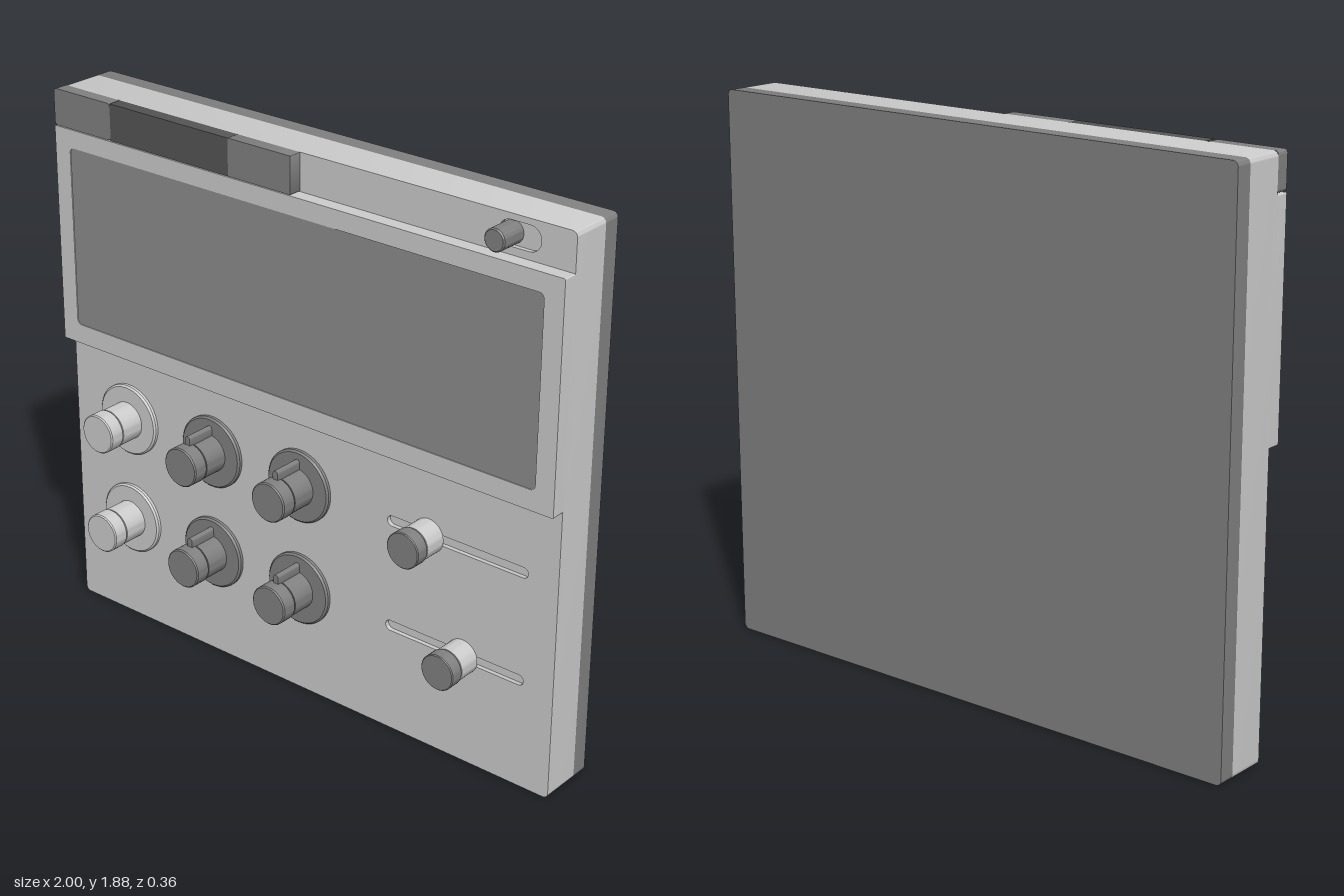
import * as THREE from 'three';
import { toCreasedNormals } from 'three/addons/utils/BufferGeometryUtils.js';

const material = (color) => new THREE.MeshStandardMaterial({ color });
const GREY = material(0xcccccc);
const PALE = material(0xdedede);
const MID = material(0x808080);
const SCREEN = material(0x8c8c8c);
const DARK = material(0x555555);

// Rounded rectangle outline, given by its edges and corner radius
function roundedRect(x0, x1, y0, y1, r, Type = THREE.Shape) {
  const s = new Type();
  s.moveTo(x0 + r, y0);
  s.lineTo(x1 - r, y0);
  s.absarc(x1 - r, y0 + r, r, -Math.PI / 2, 0);
  s.lineTo(x1, y1 - r);
  s.absarc(x1 - r, y1 - r, r, 0, Math.PI / 2);
  s.lineTo(x0 + r, y1);
  s.absarc(x0 + r, y1 - r, r, Math.PI / 2, Math.PI);
  s.lineTo(x0, y0 + r);
  s.absarc(x0 + r, y0 + r, r, Math.PI, Math.PI * 1.5);
  return s;
}

// Slab of a shape between two depths
function slab(name, shape, z0, z1, mat) {
  const g = new THREE.ExtrudeGeometry(shape, { depth: z1 - z0, bevelEnabled: false, curveSegments: 10 });
  g.translate(0, 0, z0);
  const mesh = new THREE.Mesh(toCreasedNormals(g, 0.6), mat);
  mesh.name = name;
  return mesh;
}

// Turned part facing +z, from [radius, depth] pairs
function turned(name, profile, mat) {
  const g = new THREE.LatheGeometry(profile.map(([r, z]) => new THREE.Vector2(r, z)), 48);
  g.rotateX(Math.PI / 2);
  const mesh = new THREE.Mesh(toCreasedNormals(g, 0.6), mat);
  mesh.name = name;
  return mesh;
}

function dial(x, y, mat, hasPointer) {
  const g = new THREE.Group();
  g.name = 'dial';
  g.position.set(x, y, 0);
  g.add(turned('dialDisc', [[0.126, 0.015], [0.126, 0.03], [0.12, 0.036], [0, 0.036]], mat));
  g.add(turned('dialStem', [[0.066, 0.03], [0.066, 0.122], [0.063, 0.122], [0.063, 0.13]], mat));
  g.add(turned('dialCap', [[0.06, 0.128], [0.068, 0.128], [0.068, 0.176], [0.064, 0.18], [0, 0.18]], mat));
  if (hasPointer) {
    const pointer = slab('dialPointer', roundedRect(-0.01, 0.01, 0.04, 0.098, 0.009), 0.03, 0.142, mat);
    g.add(pointer);
  }
  return g;
}

function sliderKnob(x, y) {
  const g = new THREE.Group();
  g.name = 'sliderKnob';
  g.position.set(x, y, 0);
  g.add(turned('sliderStem', [[0.058, 0.02], [0.058, 0.098], [0.054, 0.098], [0.054, 0.106]], GREY));
  g.add(turned('sliderCap', [[0.05, 0.105], [0.061, 0.105], [0.061, 0.147], [0.058, 0.15], [0, 0.15]], MID));
  // Hidden underside so the knob is closed where it spans the slot
  const base = turned('sliderBase', [[0.016, 0.004], [0.016, 0.03], [0, 0.03]], GREY);
  g.add(base);
  return g;
}

export function createModel() {
  const model = new THREE.Group();
  model.name = 'controlPanel';
  const H = 1.875;
  const rows = [0.755, 0.38];

  // Casing: dark back, middle, and face plate with cut slots
  model.add(slab('backCover', roundedRect(-1, 1, 0, H, 0.018), -0.18, -0.12, MID));
  model.add(slab('casing', roundedRect(-1, 1, 0, H, 0.018), -0.12, 0.005, GREY));
  const face = roundedRect(-1, 1, 0, H, 0.018);
  rows.forEach((y) => face.holes.push(roundedRect(0.355, 0.89, y - 0.018, y + 0.018, 0.0179, THREE.Path)));
  face.holes.push(roundedRect(0.735, 0.882, 1.775, 1.855, 0.0399, THREE.Path));
  model.add(slab('facePlate', face, 0.005, 0.02, GREY));

  // Raised display frame with inset screen
  const frame = roundedRect(-1, 1, 1.0, 1.75, 0.004);
  frame.holes.push(roundedRect(-0.935, 0.932, 1.068, 1.688, 0.018, THREE.Path));
  model.add(slab('displayFrame', frame, 0.02, 0.068, PALE));
  model.add(slab('screen', roundedRect(-0.935, 0.932, 1.068, 1.688, 0.018), 0.02, 0.065, SCREEN));

  // Row of tabs along the top
  [[-1, -0.75, MID], [-0.75, -0.25, DARK], [-0.25, 0, MID]].forEach(([x0, x1, mat]) => {
    model.add(slab('topTab', roundedRect(x0, x1, 1.752, H, x0 === -1 ? 0.012 : 0.001), 0.02, 0.066, mat));
  });

  // Toggle switch in its slot
  const toggle = turned('switchKnob', [[0.036, 0.005], [0.036, 0.094], [0.032, 0.098], [0, 0.098]], MID);
  toggle.position.set(0.775, 1.815, 0);
  model.add(toggle);

  // Two rows of dials; the first column is plain
  rows.forEach((y) => {
    [-0.75, -0.375, 0].forEach((x, i) => model.add(dial(x, y, i === 0 ? GREY : MID, i > 0)));
  });

  // Slider knobs
  model.add(sliderKnob(0.515, rows[0]), sliderKnob(0.658, rows[1]));
  return model;
}
